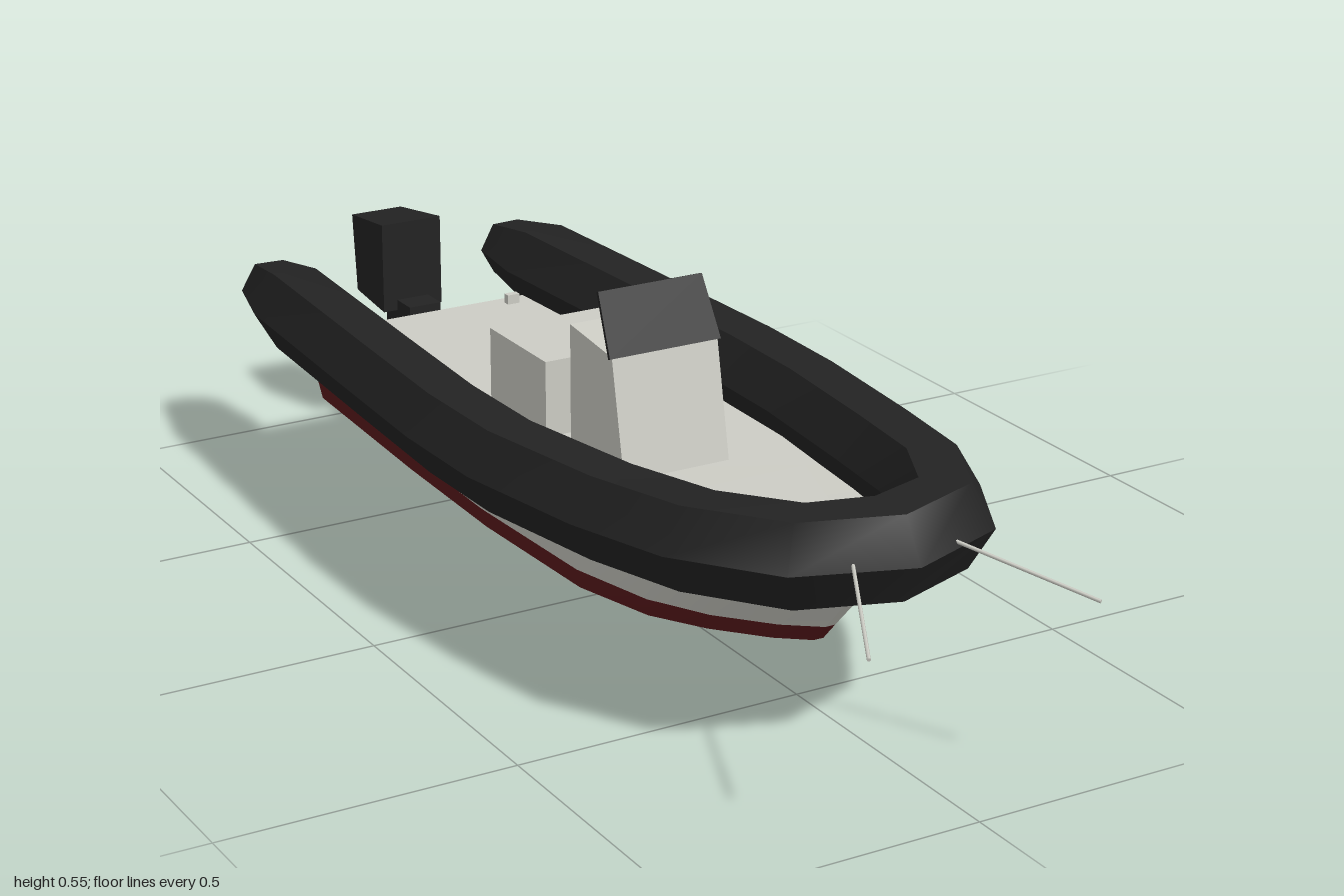
import * as THREE from 'three';
import { toCreasedNormals } from 'three/addons/utils/BufferGeometryUtils.js';

const paint = (name, color, side = THREE.FrontSide) => {
  const m = new THREE.MeshStandardMaterial({ color, side });
  m.name = name;
  return m;
};

export function createModel() {
  const boat = new THREE.Group();
  boat.name = 'inflatableBoat';
  const grey = paint('paleGrey', 0xcdcdc5);
  const red = paint('hullRed', 0x5c1a1c);
  const black = paint('rubberBlack', 0x232323);

  const add = (name, geometry, material) => {
    const mesh = new THREE.Mesh(geometry, material);
    mesh.name = name;
    boat.add(mesh);
    return mesh;
  };
  const box = (name, material, [x0, x1], [y0, y1], [z0, z1]) =>
    add(name, new THREE.BoxGeometry(x1 - x0, y1 - y0, z1 - z0), material)
      .position.set((x0 + x1) / 2, (y0 + y1) / 2, (z0 + z1) / 2);

  // Surface between two rows of points; normal = (rowB - rowA) x (direction along row)
  const loft = (rowA, rowB) => {
    const n = rowA.length, index = [];
    for (let i = 0; i < n - 1; i++) index.push(i, n + i, i + 1, n + i, n + i + 1, i + 1);
    const g = new THREE.BufferGeometry().setFromPoints([...rowA, ...rowB]);
    g.setIndex(index);
    g.computeVertexNormals();
    return g;
  };
  const mirror = row => row.map(p => new THREE.Vector3(-p.x, p.y, p.z));

  // Side profile given as (z, y), extruded across x
  const sideExtrude = (points, width) => {
    const shape = new THREE.Shape(points.map(([z, y]) => new THREE.Vector2(-z, y)));
    const g = new THREE.ExtrudeGeometry(shape, { depth: width, bevelEnabled: false });
    return g.translate(0, 0, -width / 2).rotateY(Math.PI / 2);
  };

  // Hull stations: chine z, keel y, chine x, sheer z, sheer y, sheer x
  const stations = [
    [-0.8, 0.045, 0.215, -0.8, 0.25, 0.245],
    [-0.4, 0.038, 0.232, -0.4, 0.25, 0.265],
    [-0.1, 0.035, 0.238, -0.1, 0.25, 0.275],
    [0.2, 0.048, 0.225, 0.22, 0.252, 0.258],
    [0.35, 0.067, 0.185, 0.4, 0.256, 0.225],
    [0.44, 0.086, 0.13, 0.54, 0.262, 0.17],
    [0.52, 0.108, 0.06, 0.64, 0.268, 0.09],
    [0.56, 0.119, 0.009, 0.7, 0.272, 0.009],
  ];
  const v = (x, y, z) => new THREE.Vector3(x, y, z);
  const keel = stations.map(s => v(0, s[1], s[0]));
  const chine = stations.map(s => v(s[2], 0.12, s[0]));
  const sheer = stations.map(s => v(s[5], s[4], s[3]));
  const water = chine.map((c, i) => c.clone().lerp(sheer[i], (0.155 - 0.12) / (sheer[i].y - 0.12)));
  const middle = sheer.map(p => v(0, p.y, p.z));
  const bands = [
    ['hullBottom', keel, chine, red], ['bootStripe', chine, water, red],
    ['hullSide', water, sheer, grey], ['deck', sheer, middle, grey],
  ];
  for (const [name, a, b, m] of bands) {
    add(name + 'Left', loft(a, b), m);
    add(name + 'Right', loft(mirror(b), mirror(a)), m);
  }

  // Narrow stem at the bow
  const [c, w, s] = [chine, water, sheer].map(r => r[r.length - 1]);
  add('stemLower', loft(mirror([c, w]), [c, w]), red);
  add('stemUpper', loft(mirror([w, s]), [w, s]), grey);
  box('bowEye', black, [-0.009, 0.009], [0.24, 0.254], [0.66, 0.688]);

  // Flat transom in two colours
  const transom = (name, points, m) => {
    const all = [...points, ...mirror(points).reverse()].map(p => new THREE.Vector2(p.x, p.y));
    add(name, new THREE.ShapeGeometry(new THREE.Shape(all)).rotateY(Math.PI), m).position.z = -0.8;
  };
  transom('transomLower', [keel[0], chine[0], water[0]], red);
  transom('transomUpper', [water[0], sheer[0]], grey);

  // Six-sided inflatable collar swept round the bow: x, y, z, radius
  const half = [
    [0.248, 0.3, -0.948, 0.055], [0.257, 0.3, -0.81, 0.081], [0.278, 0.3, -0.4, 0.081],
    [0.291, 0.3, -0.12, 0.081], [0.287, 0.301, 0.08, 0.081], [0.252, 0.311, 0.35, 0.081],
    [0.213, 0.325, 0.545, 0.081], [0.13, 0.339, 0.7, 0.081],
  ];
  const path = [...half, [0, 0.342, 0.748, 0.084],
    ...half.map(([x, ...rest]) => [-x, ...rest]).reverse()];
  const rings = path.map(([x, y, z, r], i) => {
    const p = path[Math.max(i - 1, 0)], q = path[Math.min(i + 1, path.length - 1)];
    const out = v(q[2] - p[2], 0, p[0] - q[0]).normalize();
    return Array.from({ length: 6 }, (_, k) => {
      const a = k * Math.PI / 3;
      return v(x, y + Math.min(r, 0.081) * Math.sin(a), z).addScaledVector(out, r * Math.cos(a));
    });
  });
  const verts = rings.flat(), faces = [];
  for (let i = 0; i < rings.length - 1; i++) {
    for (let k = 0; k < 6; k++) {
      const a = i * 6 + k, b = i * 6 + (k + 1) % 6;
      faces.push(a, a + 6, b, b, a + 6, b + 6);
    }
  }
  const last = (rings.length - 1) * 6;
  for (let k = 1; k < 5; k++) faces.push(0, k, k + 1, last, last + k + 1, last + k);
  // Orient the sweep outwards by its signed volume
  let volume = 0;
  for (let i = 0; i < faces.length; i += 3) {
    volume += verts[faces[i]].dot(v(0, 0, 0).crossVectors(verts[faces[i + 1]], verts[faces[i + 2]]));
  }
  if (volume < 0) faces.reverse();
  const collar = new THREE.BufferGeometry().setFromPoints(verts);
  collar.setIndex(faces);
  const rubber = paint('collarBlack', 0x232323, THREE.DoubleSide);
  add('inflatableCollar', toCreasedNormals(collar, 0.8), rubber);

  // Console, windscreen and seat
  add('console', sideExtrude(
    [[0.125, 0.25], [0.085, 0.455], [-0.055, 0.47], [-0.055, 0.25]], 0.2), grey);
  const screen = sideExtrude([[0.088, 0.453], [0.037, 0.553], [0.031, 0.551], [0.082, 0.451]], 0.2);
  const sp = screen.attributes.position;
  for (let i = 0; i < sp.count; i++) {
    sp.setX(i, sp.getX(i) * (sp.getY(i) > 0.5 ? 0.98 : 1.05));
  }
  screen.computeVertexNormals();
  add('windscreen', screen, black);
  box('seat', grey, [-0.112, 0.112], [0.25, 0.385], [-0.32, -0.12]);

  // Tapered bow locker
  const locker = new THREE.Shape([
    [-0.15, -0.28], [-0.055, -0.58], [0.055, -0.58], [0.15, -0.28],
  ].map(([x, y]) => new THREE.Vector2(x, y)));
  add('bowLocker', new THREE.ExtrudeGeometry(locker, { depth: 0.04, bevelEnabled: false })
    .rotateX(-Math.PI / 2), grey).position.y = 0.245;

  // Stern cleats and bow lines on both sides
  for (const side of [-1, 1]) {
    const x = side * 0.167;
    box('sternCleat', grey, [x - 0.012, x + 0.012], [0.25, 0.268], [-0.777, -0.763]);
    const from = v(side * 0.09, 0.35, 0.785), to = v(side * 0.203, 0.308, 1);
    const line = add('bowLine', new THREE.CylinderGeometry(0.003, 0.003, from.distanceTo(to), 6), grey);
    line.position.copy(from).lerp(to, 0.5);
    line.quaternion.setFromUnitVectors(v(0, 1, 0), to.clone().sub(from).normalize());
  }

  // Outboard motor
  const cowl = sideExtrude([[-0.852, 0.245], [-0.852, 0.415], [-1, 0.395], [-0.985, 0.25]], 0.12);
  const cp = cowl.attributes.position;
  for (let i = 0; i < cp.count; i++) if (cp.getZ(i) < -0.9) cp.setX(i, cp.getX(i) * 0.85);
  cowl.computeVertexNormals();
  add('motorCowl', cowl, black);
  box('motorBracket', black, [-0.032, 0.032], [0.145, 0.265], [-0.86, -0.8]);
  box('motorLeg', black, [-0.015, 0.015], [0, 0.26], [-0.935, -0.89]);
  box('cavitationPlate', black, [-0.045, 0.045], [0.056, 0.066], [-0.98, -0.872]);
  return boat;
}
